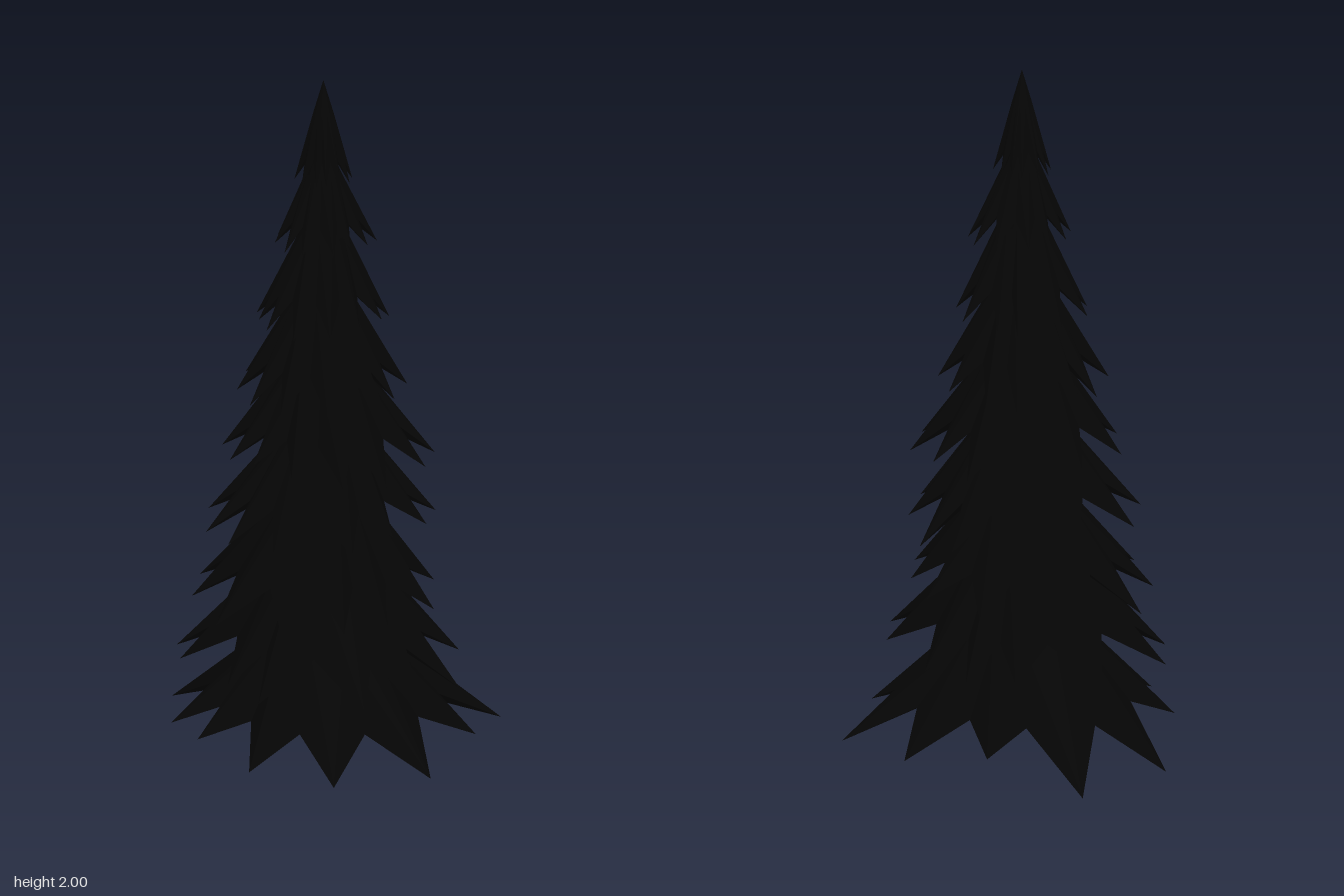
import * as THREE from 'three';

const rad = THREE.MathUtils.degToRad;

// Small seeded generator for natural irregularity
function seeded(seed) {
  let s = seed;
  return () => ((s = (s * 16807) % 2147483647) / 2147483647);
}

// Tiers from top to bottom: mean tip height, height of shoulder above tips,
// height of apex above tips, and spike reach towards +x, +z, -x, -z
const TIERS = [
  [1.70, 0.20, 0.30, [0.08, 0.075, 0.075, 0.085]],
  [1.51, 0.21, 0.34, [0.16, 0.12, 0.14, 0.13]],
  [1.28, 0.26, 0.42, [0.195, 0.16, 0.19, 0.19]],
  [1.07, 0.27, 0.48, [0.24, 0.245, 0.25, 0.24]],
  [0.87, 0.27, 0.50, [0.29, 0.315, 0.25, 0.29]],
  [0.67, 0.27, 0.50, [0.37, 0.28, 0.33, 0.32]],
  [0.45, 0.28, 0.50, [0.32, 0.34, 0.38, 0.38]],
  [0.26, 0.29, 0.50, [0.37, 0.48, 0.38, 0.39]],
];

// Bottom tier spikes: angle in degrees from +x towards +z, reach
const BOTTOM = [
  [-10, 0.47], [23, 0.52], [51, 0.44], [90, 0.485], [125, 0.47], [157, 0.44],
  [191, 0.40], [216, 0.43], [255, 0.53], [287, 0.55], [319, 0.41],
];

// Twelve uneven spikes whose reach blends between the four given directions
function makeSpikes(reach, random) {
  return Array.from({ length: 12 }, (_, k) => {
    const q = Math.floor(k / 3);
    const main = k % 3 === 0;
    const r = THREE.MathUtils.lerp(reach[q], reach[(q + 1) % 4], (k % 3) / 3);
    return [
      k * 30 + (random() - 0.5) * (main ? 14 : 18),
      r * (main ? 1 : 0.94 + random() * 0.16),
    ];
  });
}

// Closed star skirt: apex, shoulder ring, spiked rim, hollow underside
function skirtGeometry(tipY, shoulder, apex, spikes) {
  const mean = spikes.reduce((sum, s) => sum + s[1], 0) / spikes.length;
  const at = (deg, r, y) => [Math.cos(rad(deg)) * r, y, Math.sin(rad(deg)) * r];
  const ring = [];
  const rim = [];
  spikes.forEach(([deg, r], i) => {
    const last = i === spikes.length - 1;
    const next = spikes[(i + 1) % spikes.length];
    const valley = (deg + next[0] + (last ? 360 : 0)) / 2;
    ring.push(at(deg, mean * 0.36, tipY + shoulder));
    ring.push(at(valley, mean * 0.36, tipY + shoulder));
    // Longer spikes droop lower
    rim.push(at(deg, r, tipY + (mean - r) * 0.5));
    rim.push(at(valley, 0.34 * (r + next[1]), tipY + shoulder * 0.34));
  });

  const top = [0, tipY + apex, 0];
  const under = [0, tipY + shoulder * 0.6, 0];
  const corners = [];
  const tri = (...points) => points.forEach((p) => corners.push(...p));
  for (let i = 0; i < rim.length; i++) {
    const j = (i + 1) % rim.length;
    tri(top, ring[j], ring[i]);
    // Split each panel along the spike side
    if (i % 2 === 0) {
      tri(ring[i], ring[j], rim[i]);
      tri(ring[j], rim[j], rim[i]);
    } else {
      tri(ring[i], ring[j], rim[j]);
      tri(ring[i], rim[j], rim[i]);
    }
    tri(under, rim[i], rim[j]);
  }
  const geometry = new THREE.BufferGeometry();
  geometry.setAttribute('position', new THREE.Float32BufferAttribute(corners, 3));
  geometry.computeVertexNormals();
  return geometry;
}

export function createModel() {
  const tree = new THREE.Group();
  tree.name = 'firTree';
  const material = new THREE.MeshStandardMaterial({
    color: 0x050505,
    flatShading: true,
    side: THREE.DoubleSide,
  });
  const random = seeded(4711);

  // Foliage tiers
  const foliage = new THREE.Group();
  foliage.name = 'foliage';
  const addTier = (name, geometry) => {
    const mesh = new THREE.Mesh(geometry, material);
    mesh.name = name;
    foliage.add(mesh);
  };
  TIERS.forEach(([tipY, shoulder, apex, reach], i) => {
    addTier(`branchTier${i + 1}`, skirtGeometry(tipY, shoulder, apex, makeSpikes(reach, random)));
  });
  addTier('bottomBranchTier', skirtGeometry(0.041, 0.28, 0.5, BOTTOM));
  tree.add(foliage);

  // Tapered trunk, mostly hidden in the foliage
  const trunk = new THREE.Mesh(new THREE.CylinderGeometry(0.02, 0.07, 1.5, 8), material);
  trunk.name = 'trunk';
  trunk.position.y = 0.87;
  tree.add(trunk);

  // The uneven branches put the stem slightly off centre
  tree.position.set(-0.04, 0, 0.02);
  const model = new THREE.Group();
  model.add(tree);
  return model;
}
